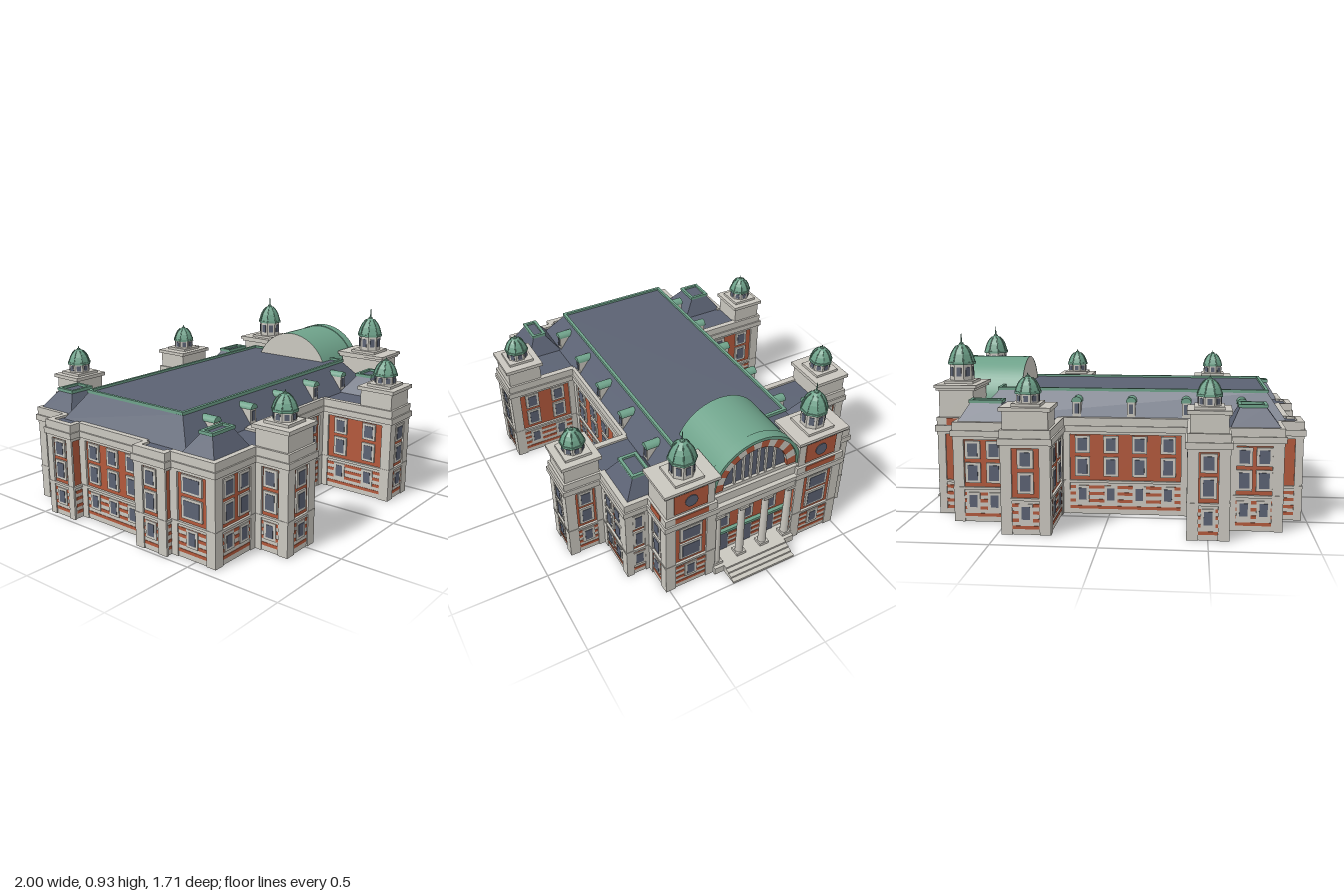
import * as THREE from 'three';
import { mergeGeometries } from 'three/addons/utils/BufferGeometryUtils.js';

const mat = (name, color, side = THREE.FrontSide) => {
  const m = new THREE.MeshStandardMaterial({ color, side });
  m.name = name;
  return m;
};

export function createModel() {
  const root = new THREE.Group();
  root.name = 'townHall';
  const stone = mat('stone', 0xcac7bf);
  const brick = mat('brick', 0xb3593c, THREE.DoubleSide);
  const slate = mat('slate', 0x5b6273, THREE.DoubleSide);
  const copper = mat('copper', 0x6fa38b, THREE.DoubleSide);

  // Pieces are gathered by part name and merged at the end
  const parts = new Map();
  const add = (name, material, geo, matrix) => {
    const g = geo.index ? geo.toNonIndexed() : geo;
    if (matrix) g.applyMatrix4(matrix);
    if (!parts.has(name)) parts.set(name, { material, list: [] });
    parts.get(name).list.push(g);
  };
  const flat = (geo) => {
    const g = geo.toNonIndexed();
    g.computeVertexNormals();
    return g;
  };
  // Box given by its extents, optionally in a wall's local frame
  const box = (name, m, x0, x1, y0, y1, z0, z1, matrix) =>
    add(name, m, new THREE.BoxGeometry(x1 - x0, y1 - y0, z1 - z0)
      .translate((x0 + x1) / 2, (y0 + y1) / 2, (z0 + z1) / 2), matrix);
  // Box whose top is shrunk to another rectangle
  const hipRoof = (name, [x0, x1, z0, z1], [a0, a1, b0, b1], y0, y1) => {
    const g = new THREE.BoxGeometry(1, 1, 1), p = g.attributes.position;
    for (let i = 0; i < p.count; i++) {
      const up = p.getY(i) > 0, right = p.getX(i) > 0, near = p.getZ(i) > 0;
      p.setXYZ(i, up ? (right ? a1 : a0) : (right ? x1 : x0), up ? y1 : y0,
        up ? (near ? b1 : b0) : (near ? z1 : z0));
    }
    g.computeVertexNormals();
    add(name, slate, g);
    const t = 0.008;
    for (const z of [b0, b1]) box('roofTrim', copper, a0 - t, a1 + t, y1 - 0.004, y1 + 0.012, z - t, z + t);
    for (const x of [a0, a1]) box('roofTrim', copper, x - t, x + t, y1 - 0.004, y1 + 0.012, b0 - t, b1 + t);
  };
  const wallFrame = (ax, az, bx, bz) => {
    const L = Math.hypot(bx - ax, bz - az), dx = (bx - ax) / L, dz = (bz - az) / L;
    const m = new THREE.Matrix4().makeBasis(new THREE.Vector3(dx, 0, dz),
      new THREE.Vector3(0, 1, 0), new THREE.Vector3(-dz, 0, dx)).setPosition(ax, 0, az);
    return { L, m };
  };
  const windowAt = (m, u, y0, y1, w) => {
    box('windowFrames', stone, u - w / 2 - 0.014, u + w / 2 + 0.014, y0 - 0.013, y1 + 0.013, 0, 0.009, m);
    box('windowPanes', slate, u - w / 2, u + w / 2, y0, y1, 0.006, 0.011, m);
  };

  // Footprint: x, z, then the window bays on the wall that starts there (-1: entrance)
  const plan = [
    [-0.935, 0.61, 2], [-0.645, 0.61, 1], [-0.645, 0.795, 1], [-0.445, 0.795, 2], [-0.445, 0.41, 4],
    [0.24, 0.41, 2], [0.24, 0.83, 1], [0.425, 0.83, 1], [0.425, 0.635, 2], [0.695, 0.635, 1],
    [0.695, 0.51, 1], [0.875, 0.51, 1], [0.875, 0.25, 0], [0.8, 0.25, -1], [0.8, -0.235, 0],
    [0.875, -0.235, 1], [0.875, -0.495, 0], [0.755, -0.495, 1], [0.755, -0.635, 2], [0.47, -0.635, 1],
    [0.47, -0.83, 1], [0.25, -0.83, 2], [0.25, -0.44, 4], [-0.41, -0.44, 2], [-0.41, -0.84, 1],
    [-0.59, -0.84, 1], [-0.59, -0.675, 2], [-0.85, -0.675, 1], [-0.85, -0.465, 0], [-0.965, -0.465, 1],
    [-0.965, -0.3, 0], [-0.905, -0.3, 3], [-0.905, 0.17, 0], [-0.975, 0.17, 1], [-0.975, 0.35, 0],
    [-0.935, 0.35, 1],
  ];
  const N = plan.length;
  const convex = (i) => {
    const [a, b, c] = [plan[(i + N - 1) % N], plan[i], plan[(i + 1) % N]];
    return (b[0] - a[0]) * (c[1] - b[1]) - (b[1] - a[1]) * (c[0] - b[0]) < 0;
  };
  plan.forEach(([ax, az, n], i) => {
    const j = (i + 1) % N, [bx, bz] = plan[j];
    const { L, m } = wallFrame(ax, az, bx, bz);
    add('walls', brick, new THREE.PlaneGeometry(L, 0.5).translate(L / 2, 0.25, 0), m);
    if (n < 0) return;
    const e0 = convex(i) ? 1 : 0, e1 = convex(j) ? 1 : 0;
    // Striped ground floor, string course, cornice and parapet
    box('groundFloor', stone, -0.004 * e0, L + 0.004 * e1, 0, 0.17, 0, 0.004, m);
    for (const y of [0.035, 0.07, 0.108, 0.143])
      box('brickBands', brick, 0.01, L - 0.01, y - 0.008, y + 0.008, 0.002, 0.006, m);
    box('stringCourse', stone, -0.012 * e0, L + 0.012 * e1, 0.166, 0.179, 0, 0.012, m);
    box('cornice', stone, -0.02 * e0, L + 0.02 * e1, 0.435, 0.466, -0.02, 0.02, m);
    box('parapet', stone, -0.012 * e0, L + 0.012 * e1, 0.42, 0.507, -0.02, 0.012, m);
    // Corner pilasters
    if (L > 0.1) {
      const w = L > 0.17 ? 0.044 : 0.03;
      box('pilasters', stone, -0.01 * e0, w, 0, 0.43, 0, 0.01, m);
      box('pilasters', stone, L - w, L + 0.01 * e1, 0, 0.43, 0, 0.01, m);
    }
    // Window bays
    for (let k = 0; k < n; k++) {
      const u = 0.035 + (L - 0.07) * (k + 0.5) / n;
      const w = L > 0.24 && n === 1 ? 0.095 : L < 0.15 ? 0.035 : 0.05;
      windowAt(m, u, 0.335, 0.4, w);
      windowAt(m, u, 0.213, 0.29, w);
      windowAt(m, u, 0.075, 0.138, 0.04);
    }
  });

  // Roof deck and hipped roofs
  const deck = new THREE.Shape(plan.map(([x, z]) => new THREE.Vector2(x, -z)));
  add('roofDeck', slate, new THREE.ShapeGeometry(deck).rotateX(-Math.PI / 2).translate(0, 0.496, 0));
  hipRoof('mainRoof', [-0.895, 0.715, -0.43, 0.41], [-0.8, 0.595, -0.335, 0.305], 0.497, 0.635);
  hipRoof('pavilionRoof', [-0.85, -0.6, -0.675, -0.43], [-0.775, -0.65, -0.6, -0.5], 0.497, 0.597);
  hipRoof('pavilionRoof', [-0.925, -0.66, 0.4, 0.6], [-0.865, -0.72, 0.475, 0.54], 0.497, 0.597);
  hipRoof('pavilionRoof', [0.48, 0.75, -0.63, -0.42], [0.535, 0.69, -0.565, -0.5], 0.497, 0.597);
  hipRoof('pavilionRoof', [0.43, 0.69, 0.4, 0.625], [0.49, 0.63, 0.475, 0.56], 0.497, 0.597);

  // Dormers along both long slopes
  for (const s of [1, -1]) for (let k = 0; k < 5; k++) {
    const m = new THREE.Matrix4().makeRotationY(s > 0 ? 0 : Math.PI)
      .setPosition(-0.67 + 0.281 * k, 0, s > 0 ? 0.402 : -0.422);
    box('dormers', stone, -0.021, 0.021, 0.497, 0.587, -0.07, 0, m);
    box('dormerPanes', slate, -0.011, 0.011, 0.525, 0.575, -0.002, 0.003, m);
    add('dormerRoofs', copper, new THREE.CylinderGeometry(0.027, 0.027, 0.085, 10, 1, false, Math.PI / 2, Math.PI)
      .rotateX(Math.PI / 2).translate(0, 0.585, -0.036), m);
  }

  // Octagonal lantern with a ribbed dome and finial
  const lantern = (x, z, y, r, h, domeH, tip) => {
    const at = new THREE.Matrix4().makeTranslation(x, y, z), q = r * 1.22;
    box('lanternPlinths', stone, -q, q, 0, 0.014, -q, q, at);
    const oct = (r0, r1, y0, y1) => flat(new THREE.CylinderGeometry(r1, r0, y1 - y0, 8, 1, false, Math.PI / 8)
      .translate(0, (y0 + y1) / 2, 0));
    add('lanterns', stone, oct(r, r, 0.012, h), at);
    for (let k = 0; k < 8; k++) {
      const m = at.clone().multiply(new THREE.Matrix4().makeRotationY(k * Math.PI / 4));
      const d = r * Math.cos(Math.PI / 8), w = r * 0.2;
      box('lanternPanes', slate, -w, w, h * 0.35, h * 0.82, d - 0.003, d + 0.003, m);
    }
    add('domeEaves', copper, oct(r * 1.15, r * 1.15, h - 0.004, h + 0.008), at);
    const prof = [[1.08, 0], [1.0, 0.18], [0.88, 0.42], [0.68, 0.66], [0.4, 0.86], [0.2, 0.93], [0.17, 1], [0, 1.06]]
      .map(([a, b]) => new THREE.Vector2(a * r, h + 0.006 + b * domeH));
    add('domes', copper, flat(new THREE.LatheGeometry(prof, 8, Math.PI / 8)), at);
    for (let k = 0; k < 8; k++) {
      const a = Math.PI / 8 + k * Math.PI / 4;
      const path = new THREE.CatmullRomCurve3(prof.slice(0, 5)
        .map((p) => new THREE.Vector3(p.x * Math.sin(a), p.y, p.x * Math.cos(a))));
      add('domeRibs', copper, new THREE.TubeGeometry(path, 6, 0.003, 4), at);
    }
    const top = h + domeH;
    add('finials', copper, new THREE.CylinderGeometry(0.0015, 0.005, tip, 6).translate(0, top + tip / 2, 0), at);
  };

  // Four wing towers
  for (const [x0, x1, z0, z1] of [[-0.645, -0.445, 0.61, 0.795], [0.24, 0.425, 0.645, 0.83],
    [0.25, 0.47, -0.83, -0.65], [-0.59, -0.41, -0.84, -0.675]]) {
    box('wingTowers', stone, x0, x1, 0.49, 0.596, z0, z1);
    box('wingTowerCaps', stone, x0 - 0.014, x1 + 0.014, 0.594, 0.613, z0 - 0.014, z1 + 0.014);
    lantern((x0 + x1) / 2, (z0 + z1) / 2, 0.613, 0.057, 0.06, 0.075, 0.02);
  }

  // Two entrance towers
  for (const [z0, z1, s] of [[0.25, 0.51, 1], [-0.495, -0.235, -1]]) {
    const zc = (z0 + z1) / 2;
    box('entranceTowers', stone, 0.695, 0.875, 0.49, 0.652, z0, z1);
    box('entranceTowerCaps', stone, 0.683, 0.887, 0.645, 0.66, z0 - 0.012, z1 + 0.012);
    box('entranceTowerCaps', stone, 0.675, 0.895, 0.658, 0.674, z0 - 0.02, z1 + 0.02);
    box('towerPanels', brick, 0.873, 0.879, 0.52, 0.635, zc - 0.09, zc + 0.09);
    box('towerPanels', brick, 0.883, 0.89, 0.472, 0.502, zc - 0.09, zc + 0.09);
    const zo = s > 0 ? z1 : z0;
    box('towerPanels', brick, 0.74, 0.835, 0.468, 0.503, zo + s * 0.012 - 0.003, zo + s * 0.012 + 0.003);
    add('oculi', slate, new THREE.CylinderGeometry(0.034, 0.034, 0.008, 20).rotateZ(Math.PI / 2)
      .translate(0.879, 0.578, zc));
    lantern(0.787, zc, 0.674, 0.063, 0.1, 0.1, 0.055);
  }

  // Barrel vault with stone end walls
  const zc = 0.0075, yc = 0.53, R = 0.25;
  add('barrelVault', copper, new THREE.CylinderGeometry(R, R, 0.35, 36, 1, true, 0, Math.PI)
    .rotateZ(Math.PI / 2).translate(0.675, yc, zc));
  add('vaultEnds', stone, new THREE.CircleGeometry(R, 36, 0, Math.PI).rotateY(-Math.PI / 2).translate(0.502, yc, zc));
  add('archGlass', slate, new THREE.CircleGeometry(0.2, 32, 0, Math.PI).rotateY(Math.PI / 2).translate(0.835, yc, zc));
  const arc = (name, m, r0, r1, a0, a1, x0, x1) => {
    const s = new THREE.Shape();
    s.absarc(0, 0, r1, a0, a1, false);
    s.absarc(0, 0, r0, a1, a0, true);
    add(name, m, new THREE.ExtrudeGeometry(s, { depth: x1 - x0, bevelEnabled: false, curveSegments: a1 - a0 > 1 ? 32 : 4 })
      .rotateY(Math.PI / 2).translate(x0, yc, zc));
  };
  for (let k = 0; k < 15; k++)
    arc(k % 2 ? 'archStones' : 'archBricks', k % 2 ? stone : brick, 0.185, 0.238,
      k * Math.PI / 15, (k + 1) * Math.PI / 15, 0.82, 0.855);
  arc('archRim', copper, 0.237, 0.254, 0, Math.PI, 0.815, 0.868);
  for (const d of [-0.115, -0.065, -0.022, 0.022, 0.065, 0.115])
    box('archMullions', stone, 0.834, 0.845, yc, yc + Math.sqrt(0.188 ** 2 - d * d), zc + d - 0.006, zc + d + 0.006);

  // Portico: entablature, platform, columns and steps
  box('entablature', stone, 0.78, 0.85, 0.455, 0.535, -0.24, 0.255);
  box('entablature', stone, 0.795, 0.88, 0.39, 0.445, -0.24, 0.255);
  box('entablature', stone, 0.795, 0.893, 0.44, 0.466, -0.24, 0.255);
  box('entablature', stone, 0.795, 0.868, 0.466, 0.515, -0.24, 0.255);
  box('porticoFloor', stone, 0.802, 0.905, 0, 0.042, -0.234, 0.249);
  for (let k = 0; k < 4; k++)
    box('steps', stone, 0.9, 0.925 + 0.025 * k, 0.03 - 0.01 * k, 0.042 - 0.01 * k, -0.175, 0.195);
  box('steps', stone, 0.9, 1.0, 0, 0.012, -0.175, 0.195);
  for (let k = 0; k < 4; k++) {
    const z = zc + 0.2115 - 0.141 * k;
    add('columns', stone, new THREE.CylinderGeometry(0.018, 0.022, 0.32, 16).translate(0.86, 0.21, z));
    box('columnBases', stone, 0.833, 0.887, 0.042, 0.058, z - 0.027, z + 0.027);
    box('columnCapitals', stone, 0.833, 0.887, 0.376, 0.392, z - 0.027, z + 0.027);
    add('columnCapitals', stone, new THREE.CylinderGeometry(0.026, 0.018, 0.016, 16).translate(0.86, 0.368, z));
  }

  // Recessed entrance wall with arched doorways and a balcony strip
  const { L, m } = wallFrame(0.8, 0.25, 0.8, -0.235);
  box('entranceBase', stone, 0, L, 0, 0.172, 0, 0.004, m);
  box('balconyStrip', copper, 0, L, 0.172, 0.188, 0, 0.02, m);
  for (let k = 0; k < 3; k++) {
    const u = L / 2 + (k - 1) * 0.141;
    windowAt(m, u, 0.312, 0.36, 0.045);
    windowAt(m, u, 0.222, 0.282, 0.045);
    const door = new THREE.Shape();
    door.moveTo(u - 0.032, 0.042);
    door.lineTo(u + 0.032, 0.042);
    door.absarc(u, 0.134, 0.032, 0, Math.PI, false);
    add('doorways', slate, new THREE.ExtrudeGeometry(door, { depth: 0.008, bevelEnabled: false }), m);
  }
  for (const y of [0.07, 0.105, 0.14]) for (let k = 0; k < 4; k++) {
    const u = L / 2 + (k - 1.5) * 0.141;
    box('brickBands', brick, u - 0.032, u + 0.032, y - 0.008, y + 0.008, 0.002, 0.007, m);
  }

  for (const [name, { material, list }] of parts) {
    const mesh = new THREE.Mesh(mergeGeometries(list), material);
    mesh.name = name;
    root.add(mesh);
  }
  return root;
}
